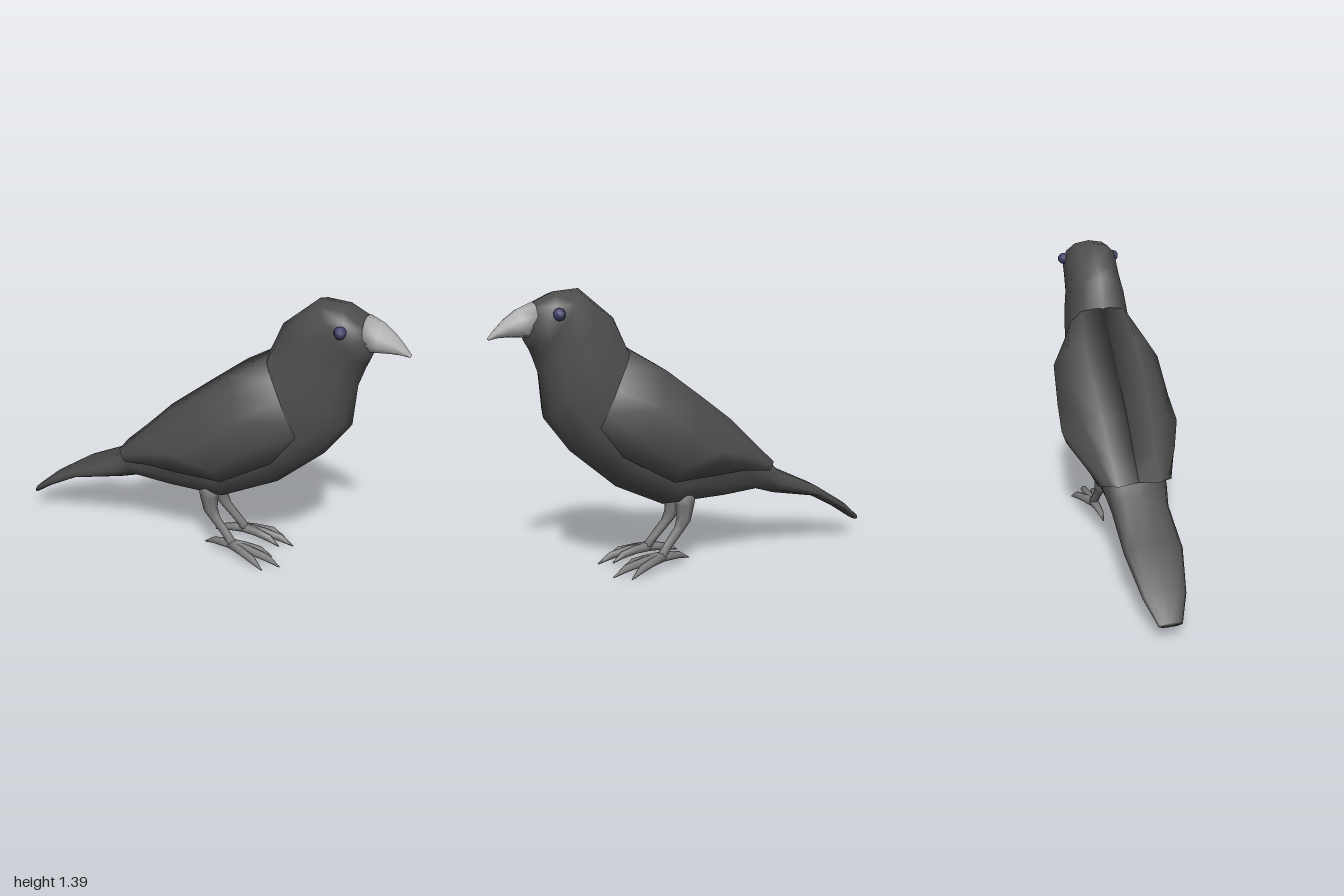
import * as THREE from 'three';

const material = (color) => new THREE.MeshStandardMaterial({ color, side: THREE.DoubleSide, roughness: 0.9 });

// Skin a list of closed rings of [x, y, z] points, capped at both ends.
// side = -1 mirrors the shape across z and reverses the winding.
function loft(rings, side = 1) {
  const n = rings[0].length, pos = [], index = [];
  const tri = (a, b, c) => (side > 0 ? index.push(a, b, c) : index.push(a, c, b));
  const add = (p) => pos.push(p[0], p[1], p[2] * side);
  const centre = (ring) => [0, 1, 2].map((k) => ring.reduce((s, p) => s + p[k], 0) / n);
  rings.forEach((ring) => ring.forEach(add));
  const last = (rings.length - 1) * n, startCap = rings.length * n, endCap = startCap + 1;
  add(centre(rings[0]));
  add(centre(rings[rings.length - 1]));
  for (let j = 0; j < n; j++) {
    const k = (j + 1) % n;
    for (let i = 0; i < last; i += n) {
      tri(i + j, i + k, i + n + k);
      tri(i + j, i + n + k, i + n + j);
    }
    tri(startCap, k, j);
    tri(endCap, last + j, last + k);
  }
  const geometry = new THREE.BufferGeometry();
  geometry.setAttribute('position', new THREE.Float32BufferAttribute(pos, 3));
  geometry.setIndex(index);
  geometry.computeVertexNormals();
  return geometry;
}

// Slightly squared oval ring from its top point, bottom point and half width.
function oval([tx, ty, bx, by, w], n = 12) {
  const soft = (v) => Math.sign(v) * Math.abs(v) ** 0.85;
  return Array.from({ length: n }, (_, j) => {
    const a = (j / n) * Math.PI * 2, c = soft(Math.cos(a)), s = soft(Math.sin(a));
    return [(tx + bx) / 2 + ((tx - bx) / 2) * c, (ty + by) / 2 + ((ty - by) / 2) * c, w * s];
  });
}

// Tapered limb through [x, y, z, radius] points.
function limb(points, side, n = 7) {
  const at = points.map((p) => new THREE.Vector3(p[0], p[1], p[2]));
  return loft(points.map((p, i) => {
    const t = at[Math.min(i + 1, at.length - 1)].clone().sub(at[Math.max(i - 1, 0)]).normalize();
    const u = new THREE.Vector3(0, 0, 1).addScaledVector(t, -t.z).normalize();
    const v = t.clone().cross(u);
    return Array.from({ length: n }, (_, j) => {
      const a = (j / n) * Math.PI * 2;
      return at[i].clone().addScaledVector(u, p[3] * Math.cos(a)).addScaledVector(v, p[3] * Math.sin(a)).toArray();
    });
  }), side);
}

export function createModel() {
  const model = new THREE.Group();
  const feathers = material(0x4d4d4d), horn = material(0xb4b4b4);
  const skin = material(0x7c7c7c), eyeColor = material(0x40406c);
  const add = (name, geometry, mat, parent = model) => {
    const mesh = new THREE.Mesh(geometry, mat);
    mesh.name = name;
    parent.add(mesh);
    return mesh;
  };

  // Tail, trunk, neck and head in one skin: top x, y, bottom x, y, half width
  add('body', loft([
    [-1, 0.12, -0.99, 0.09, 0.055],
    [-0.9, 0.205, -0.88, 0.165, 0.1],
    [-0.71, 0.325, -0.69, 0.268, 0.137],
    [-0.47, 0.44, -0.44, 0.312, 0.138],
    [-0.39, 0.53, -0.33, 0.345, 0.155],
    [-0.17, 0.74, -0.15, 0.322, 0.175],
    [0, 0.87, 0.15, 0.31, 0.18],
    [0.18, 1.01, 0.4, 0.43, 0.18],
    [0.34, 1.11, 0.63, 0.63, 0.175],
    [0.4, 1.25, 0.755, 0.8, 0.16],
    [0.46, 1.3, 0.77, 1.0, 0.143],
    [0.57, 1.392, 0.8, 1.09, 0.14],
    [0.69, 1.38, 0.815, 1.125, 0.132],
    [0.81, 1.325, 0.825, 1.15, 0.092],
  ].map((s) => oval(s))), feathers);

  // Hooked beak
  add('beak', loft([
    [0.79, 1.337, 0.8, 1.175, 0.103],
    [0.86, 1.307, 0.85, 1.178, 0.086],
    [0.92, 1.262, 0.91, 1.18, 0.06],
    [0.97, 1.212, 0.96, 1.178, 0.034],
    [1, 1.178, 0.995, 1.17, 0.015],
  ].map((s) => oval(s, 10))), horn);

  // Folded wing, tail end first: shoulder edge, outer face, lower edge
  const wing = [
    [[-0.43, 0.49, 0.1], [-0.41, 0.49, 0.13], [-0.39, 0.48, 0.155], [-0.37, 0.475, 0.175], [-0.36, 0.468, 0.18]],
    [[-0.32, 0.59, 0.11], [-0.29, 0.58, 0.165], [-0.23, 0.56, 0.23], [-0.21, 0.53, 0.232], [-0.2, 0.49, 0.205]],
    [[-0.17, 0.735, 0.12], [-0.12, 0.7, 0.21], [-0.04, 0.62, 0.295], [-0.05, 0.56, 0.275], [-0.06, 0.485, 0.215]],
    [[0, 0.865, 0.13], [0.05, 0.82, 0.225], [0.1, 0.7, 0.288], [0.14, 0.56, 0.265], [0.17, 0.467, 0.19]],
    [[0.18, 1, 0.13], [0.23, 0.95, 0.21], [0.27, 0.85, 0.275], [0.36, 0.7, 0.24], [0.42, 0.61, 0.18]],
    [[0.35, 1.1, 0.11], [0.4, 1.03, 0.16], [0.45, 0.93, 0.18], [0.5, 0.82, 0.178], [0.53, 0.76, 0.165]],
  ].map((outer) => {
    // Close each section inside the trunk, meeting the other wing on the back
    const [x, y] = outer[0], low = outer[4];
    return [[x, y + 0.015, 0], ...outer, [low[0], low[1], 0.08]];
  });

  // Toe paths fan out from the ankle: x, y, z, radius
  const ankle = [0.19, 0.068, 0.09, 0.026];
  const toes = {
    middleToe: [ankle, [0.3, 0.06, 0.1, 0.021], [0.39, 0.042, 0.105, 0.019], [0.46, 0.006, 0.108, 0.003]],
    outerToe: [ankle, [0.26, 0.06, 0.125, 0.021], [0.33, 0.045, 0.155, 0.019], [0.39, 0.008, 0.175, 0.003]],
    innerToe: [ankle, [0.27, 0.064, 0.074, 0.021], [0.34, 0.052, 0.062, 0.018], [0.4, 0.02, 0.054, 0.003]],
    hindToe: [ankle, [0.14, 0.064, 0.082, 0.022], [0.09, 0.058, 0.075, 0.017], [0.04, 0.036, 0.07, 0.003]],
  };

  for (const [label, side] of [['left', -1], ['right', 1]]) {
    add(`${label}Wing`, loft(wing, side), feathers);

    const eye = add(`${label}Eye`, new THREE.SphereGeometry(0.03, 7, 5), eyeColor);
    eye.position.set(0.705, 1.285, 0.135 * side);

    // Leg with feathered thigh, shank and four toes
    const leg = new THREE.Group();
    leg.name = `${label}Leg`;
    model.add(leg);
    add('shank', limb([
      [0.06, 0.37, 0.065, 0.06], [0.06, 0.31, 0.067, 0.048], [0.07, 0.24, 0.073, 0.037],
      [0.1, 0.19, 0.078, 0.025], [0.165, 0.115, 0.085, 0.022], [0.2, 0.065, 0.09, 0.026],
    ], side), skin, leg);
    for (const [name, path] of Object.entries(toes)) add(name, limb(path, side, 6), skin, leg);
  }
  return model;
}
